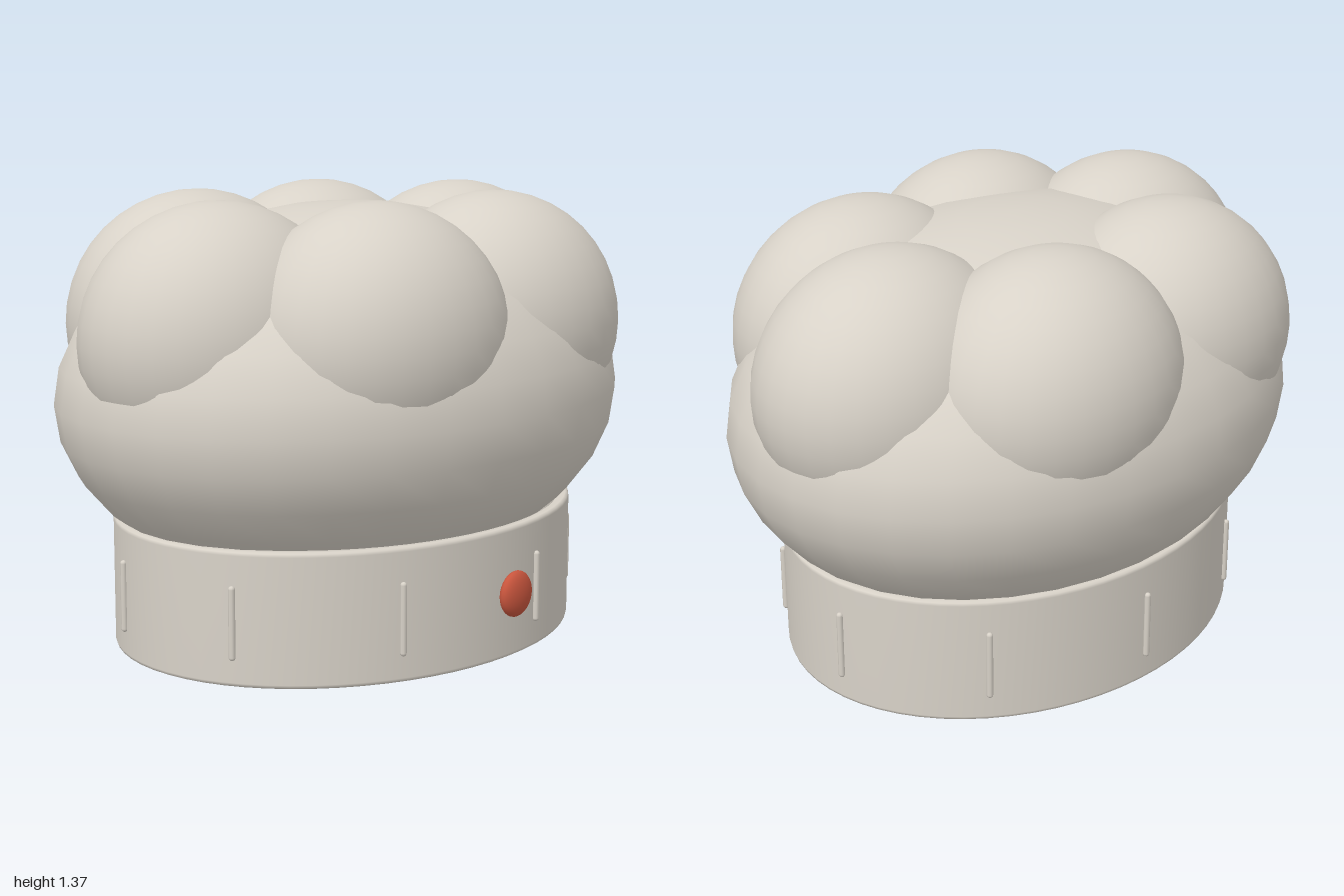
import * as THREE from 'three';

export function createModel() {
  const hat = new THREE.Group();
  hat.name = 'puffyHat';

  const cloth = new THREE.MeshStandardMaterial({ color: 0xd8d2c8 });
  cloth.name = 'warm white cloth';
  const red = new THREE.MeshStandardMaterial({ color: 0xc8553d });
  red.name = 'red button';

  function add(name, geometry, material, x, y, z) {
    const mesh = new THREE.Mesh(geometry, material);
    mesh.name = name;
    mesh.position.set(x, y, z);
    hat.add(mesh);
    return mesh;
  }
  const ellipsoid = (rx, ry, rz, w = 32, h = 20) =>
    new THREE.SphereGeometry(1, w, h).scale(rx, ry, rz);

  // Oval head band: a hollow ring with small bevels on its edges
  const bandX = 0.8, bandZ = 0.645, bandOffset = 0.01;
  const ring = [
    [0.755, 0.39], [0.745, 0.38], [0.745, 0.02], [0.75, 0.006], [0.765, 0],
    [0.788, 0], [0.797, 0.004], [0.8, 0.013],
    [0.8, 0.387], [0.797, 0.396], [0.788, 0.4], [0.765, 0.4], [0.755, 0.39],
  ];
  const band = new THREE.LatheGeometry(ring.map(([r, y]) => new THREE.Vector2(r, y)), 64);
  band.scale(1, 1, bandZ / bandX);
  add('headBand', band, cloth, 0, 0, bandOffset);

  // Thin raised pleats evenly spaced around the band
  const pleat = new THREE.CapsuleGeometry(0.01, 0.2, 4, 8);
  for (let i = 0; i < 9; i++) {
    const a = (i / 9) * Math.PI * 2;
    add('pleat' + (i + 1), pleat, cloth,
      Math.cos(a) * (bandX + 0.004), 0.19, bandOffset + Math.sin(a) * (bandZ + 0.004));
  }

  // Wide puffed crown
  add('crown', ellipsoid(0.985, 0.58, 0.778, 32, 16), cloth, 0, 0.75, 0);

  // Six overlapping puffs around the top
  const puff = ellipsoid(0.437, 0.4, 0.37, 32, 20);
  for (let i = 0; i < 6; i++) {
    const a = (i / 6) * Math.PI * 2;
    add('puff' + (i + 1), puff, cloth, Math.cos(a) * 0.563, 0.965, Math.sin(a) * 0.418);
  }

  // Flattened button on the front of the band
  add('button', ellipsoid(0.07, 0.07, 0.03, 24, 16), red, 0, 0.2, 0.675);

  return hat;
}
